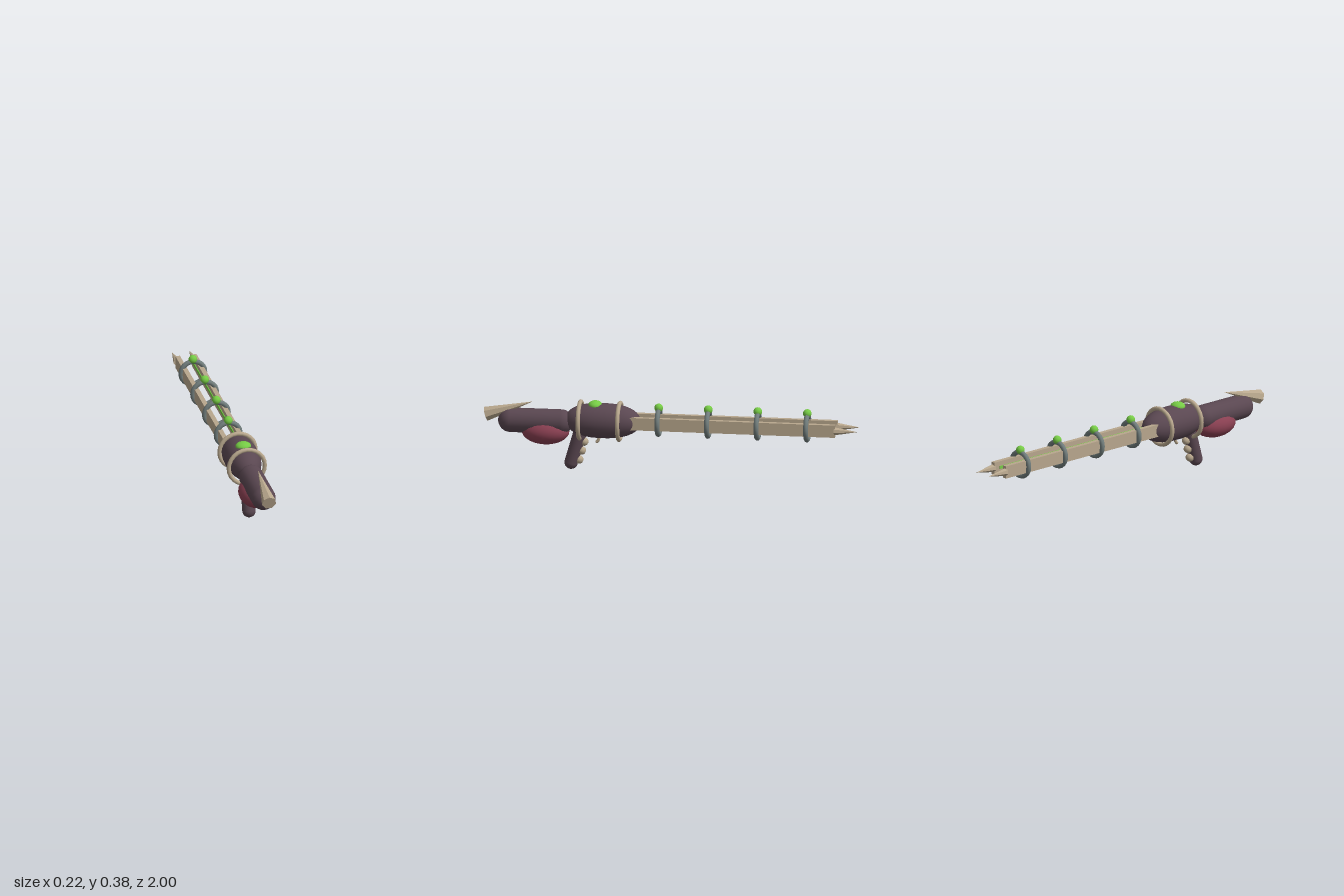
import * as THREE from 'three';

function mat(name, color, flat = false) {
  const m = new THREE.MeshStandardMaterial({ color, flatShading: flat });
  m.name = name;
  return m;
}

export function createModel() {
  const root = new THREE.Group();
  root.name = 'organicRifle';
  const hide = mat('dark hide', 0x5a4751);
  const bone = mat('bone', 0xb8a78d);
  const boneFlat = bone.clone();
  boneFlat.flatShading = true;
  const flesh = mat('flesh', 0x8a4052);
  const glow = mat('glowing green', 0x76cb45);
  const metal = mat('grey metal', 0x717d7c);

  function add(name, geometry, material, x = 0, y = 0, z = 0) {
    const mesh = new THREE.Mesh(geometry, material);
    mesh.name = name;
    mesh.position.set(x, y, z);
    root.add(mesh);
    return mesh;
  }
  const ellipsoid = (rx, ry, rz) => new THREE.SphereGeometry(1, 24, 16).scale(rx, ry, rz);

  // Swollen body, a blunt spindle lying along z
  const profile = [];
  for (let i = 0; i <= 20; i++) {
    const t = -Math.cos((i / 20) * Math.PI);
    const r = Math.pow(Math.max(0, 1 - Math.pow(Math.abs(t), 2.3)), 1 / 2.3);
    profile.push(new THREE.Vector2(0.093 * r, 0.2 * t));
  }
  add('body', new THREE.LatheGeometry(profile, 24).rotateX(Math.PI / 2), hide, 0, 0.27, 0.37);
  add('bodyEye', ellipsoid(0.042, 0.024, 0.037), glow, 0, 0.354, 0.41);
  for (const z of [0.49, 0.28]) {
    add('bodyRing', new THREE.TorusGeometry(0.098, 0.0115, 10, 24), bone, 0, 0.269, z);
  }

  // Stock with the sac below and the horn on its end
  add('stock', new THREE.CapsuleGeometry(0.065, 0.27, 8, 20).rotateX(Math.PI / 2), hide, 0, 0.256, 0.727);
  add('sac', ellipsoid(0.087, 0.071, 0.127), flesh, 0, 0.203, 0.675);
  const horn = add('stockHorn', new THREE.ConeGeometry(0.039, 0.262, 7), boneFlat, 0, 0.322, 0.867);
  horn.rotation.x = -Math.atan2(0.25, 0.077);

  // Grip with finger knobs
  const grip = add('grip', new THREE.CapsuleGeometry(0.036, 0.19, 8, 18), hide, 0, 0.128, 0.512);
  grip.rotation.x = -0.28;
  [[0.053, 0.496], [0.103, 0.482], [0.152, 0.469]].forEach(([y, z]) => {
    add('gripKnob', new THREE.SphereGeometry(0.023, 14, 10), bone, 0, y, z);
  });

  // Hooked trigger
  const hook = new THREE.QuadraticBezierCurve3(
    new THREE.Vector3(0, 0.195, 0.392),
    new THREE.Vector3(0, 0.165, 0.385),
    new THREE.Vector3(0, 0.153, 0.402)
  );
  add('trigger', new THREE.TubeGeometry(hook, 8, 0.008, 8), bone);
  add('triggerTip', new THREE.SphereGeometry(0.008, 8, 6), bone, 0, 0.153, 0.402);

  // Twin rails, each with an inner glowing strip and a spike
  for (const side of [1, -1]) {
    add('rail', new THREE.BoxGeometry(0.025, 0.067, 1.125), boneFlat, side * 0.045, 0.272, -0.3125);
    add('railGlow', new THREE.BoxGeometry(0.005, 0.016, 1.06), glow, side * 0.031, 0.272, -0.31);
    add('railSpike', new THREE.ConeGeometry(0.022, 0.125, 7).rotateX(-Math.PI / 2), boneFlat,
      side * 0.047, 0.272, -0.9325);
  }

  // Clamping rings, each topped with a glowing bead
  for (let i = 0; i < 4; i++) {
    const z = 0.072 - i * 0.264;
    add('railRing', new THREE.TorusGeometry(0.065, 0.0135, 10, 24), metal, 0, 0.273, z);
    add('ringBead', new THREE.SphereGeometry(0.023, 16, 12), glow, 0, 0.351, z);
  }
  return root;
}
